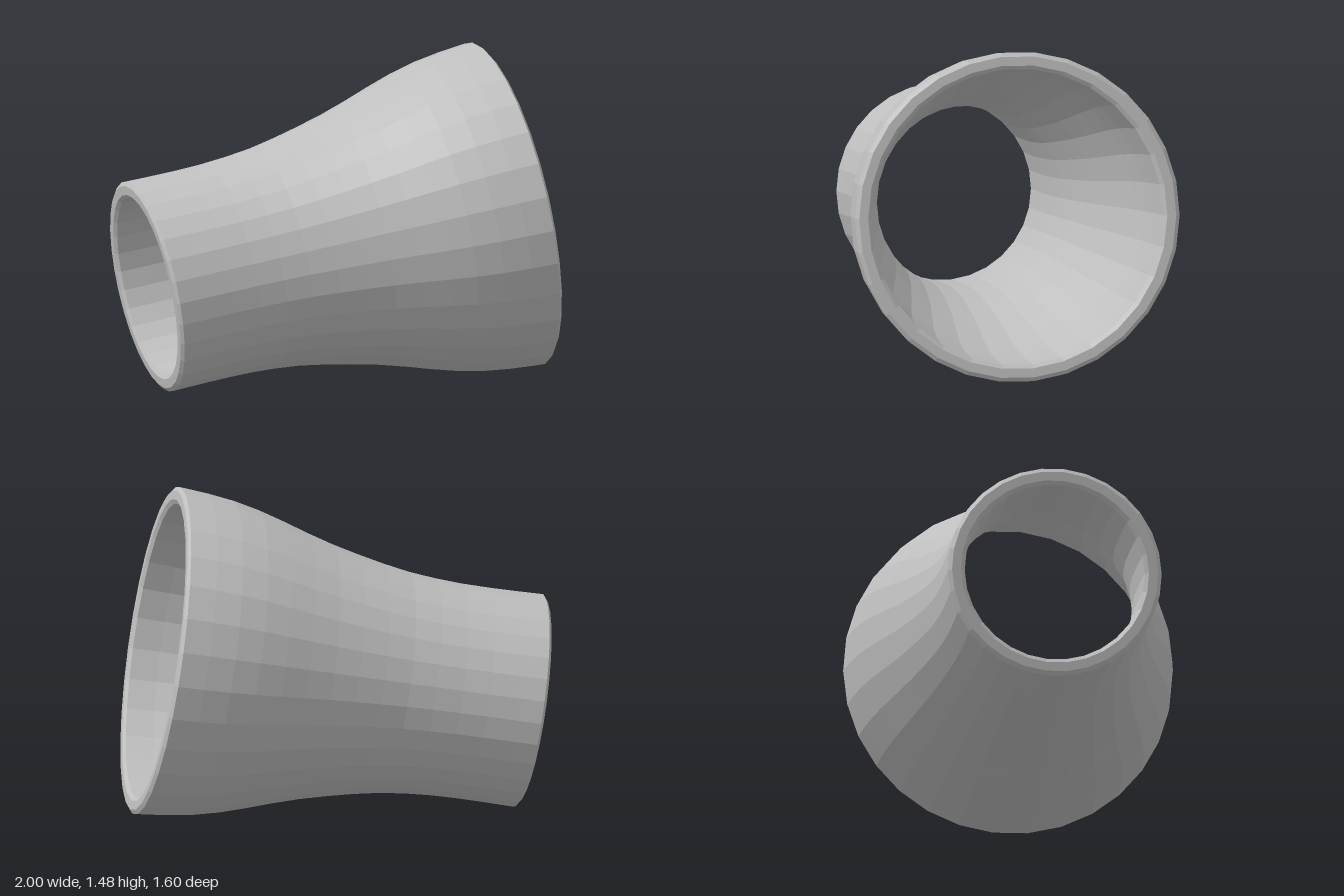
import * as THREE from 'three';

export function createModel() {
  const group = new THREE.Group();
  group.name = 'flaredSleeve';
  const grey = new THREE.MeshStandardMaterial({ color: 0xbfbfbf });
  grey.name = 'plain grey';

  const SIDES = 30, WALL = 0.077, BEVEL = 0.018, LIP = 0.013;

  // outer radius along the sleeve axis, from the narrow to the wide end
  const profile = new THREE.SplineCurve([
    [0.005, 0.484], [0.18, 0.481], [0.36, 0.482], [0.53, 0.493], [0.7, 0.516],
    [1.0, 0.584], [1.31, 0.68], [1.5, 0.722], [1.705, 0.744],
  ].map(([s, r]) => new THREE.Vector2(r, s)));
  const outer = profile.getSpacedPoints(14);
  const inner = outer.map(p => new THREE.Vector2(p.x - WALL, p.y)).reverse();

  // faceted surface of revolution
  function ring(name, points) {
    const geo = new THREE.LatheGeometry(points, SIDES).toNonIndexed();
    geo.computeVertexNormals();
    const mesh = new THREE.Mesh(geo, grey);
    mesh.name = name;
    group.add(mesh);
  }

  // bevelled rim joining the outer and inner walls
  function rim(name, end, dir) {
    const y = end.y + dir * LIP;
    const pts = [
      end.clone(),
      new THREE.Vector2(end.x - BEVEL, y),
      new THREE.Vector2(end.x - WALL + BEVEL, y),
      new THREE.Vector2(end.x - WALL, end.y),
    ];
    ring(name, dir > 0 ? pts : pts.reverse());
  }

  ring('outerWall', outer);
  ring('innerWall', inner);
  rim('wideRim', outer[outer.length - 1], 1);
  rim('narrowRim', outer[0], -1);

  // tilt the axis from the narrow end towards the wide end
  const narrow = new THREE.Vector3(-0.855, 0.487, 0.33);
  const wide = new THREE.Vector3(0.785, 0.76, -0.08);
  const axis = wide.clone().sub(narrow).normalize();
  group.quaternion.setFromUnitVectors(new THREE.Vector3(0, 1, 0), axis);
  group.position.copy(narrow);

  const model = new THREE.Group();
  model.name = 'model';
  model.add(group);
  return model;
}
